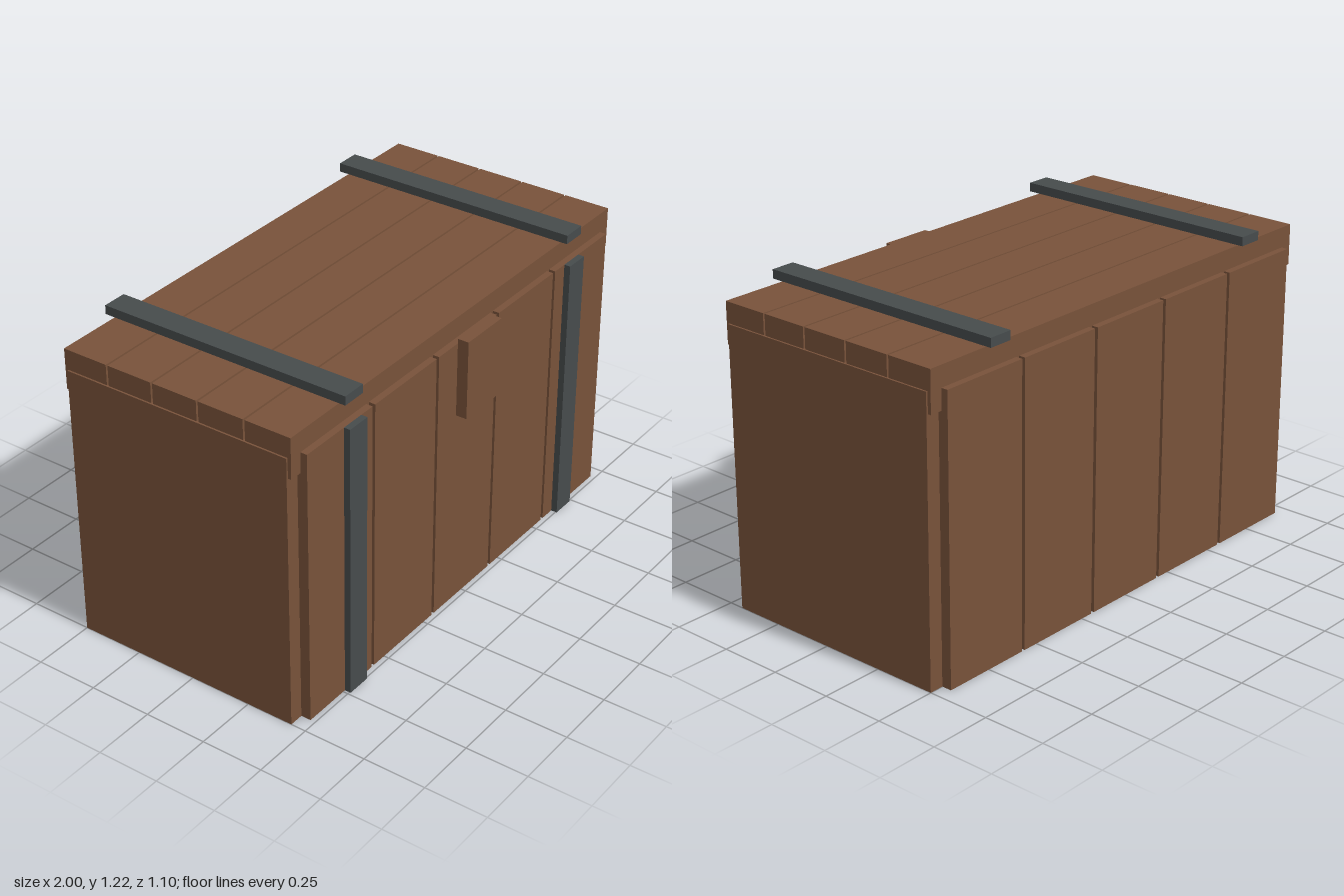
import * as THREE from 'three';

export function createModel() {
  const group = new THREE.Group();
  group.name = 'woodenChest';

  const wood = new THREE.MeshStandardMaterial({ color: 0x78523a });
  wood.name = 'brownWood';
  const iron = new THREE.MeshStandardMaterial({ color: 0x464b4c });
  iron.name = 'darkIron';

  // Box given by its extents on each axis
  function box(name, material, [x0, x1], [y0, y1], [z0, z1]) {
    const mesh = new THREE.Mesh(new THREE.BoxGeometry(x1 - x0, y1 - y0, z1 - z0), material);
    mesh.position.set((x0 + x1) / 2, (y0 + y1) / 2, (z0 + z1) / 2);
    mesh.name = name;
    group.add(mesh);
  }

  const wallHeight = [0, 1.1];
  const midZ = -0.03; // the body sits slightly behind the origin; the latch projects in front

  // Upright planks of the front and back walls
  for (let i = -2; i <= 2; i++) {
    const x = [i * 0.38 - 0.1825, i * 0.38 + 0.1825];
    box('frontPlank', wood, x, wallHeight, [midZ + 0.43, midZ + 0.51]);
    box('backPlank', wood, x, wallHeight, [midZ - 0.51, midZ - 0.43]);
  }

  // Lid planks
  for (let i = -2; i <= 2; i++) {
    const z = midZ + i * 0.195;
    box('lidPlank', wood, [-0.993, 0.993], [1.02, 1.18], [z - 0.0935, z + 0.0935]);
  }

  for (const side of [-1, 1]) {
    const span = (a, b) => (side > 0 ? [a, b] : [-b, -a]);

    // Solid end wall and its inner corner posts
    box('endWall', wood, span(0.905, 1), wallHeight, [midZ - 0.47, midZ + 0.47]);
    box('frontPost', wood, span(0.79, 0.905), wallHeight, [midZ + 0.34, midZ + 0.43]);
    box('backPost', wood, span(0.79, 0.905), wallHeight, [midZ - 0.43, midZ - 0.34]);

    // Iron straps
    box('frontStrap', iron, span(0.642, 0.74), wallHeight, [0.48, 0.505]);
    box('lidStrap', iron, span(0.642, 0.74), [1.187, 1.222], [-0.546, 0.486]);
  }

  // Latch block
  box('latch', wood, [-0.105, 0.105], [0.833, 1.145], [0.505, 0.549]);

  return group;
}
